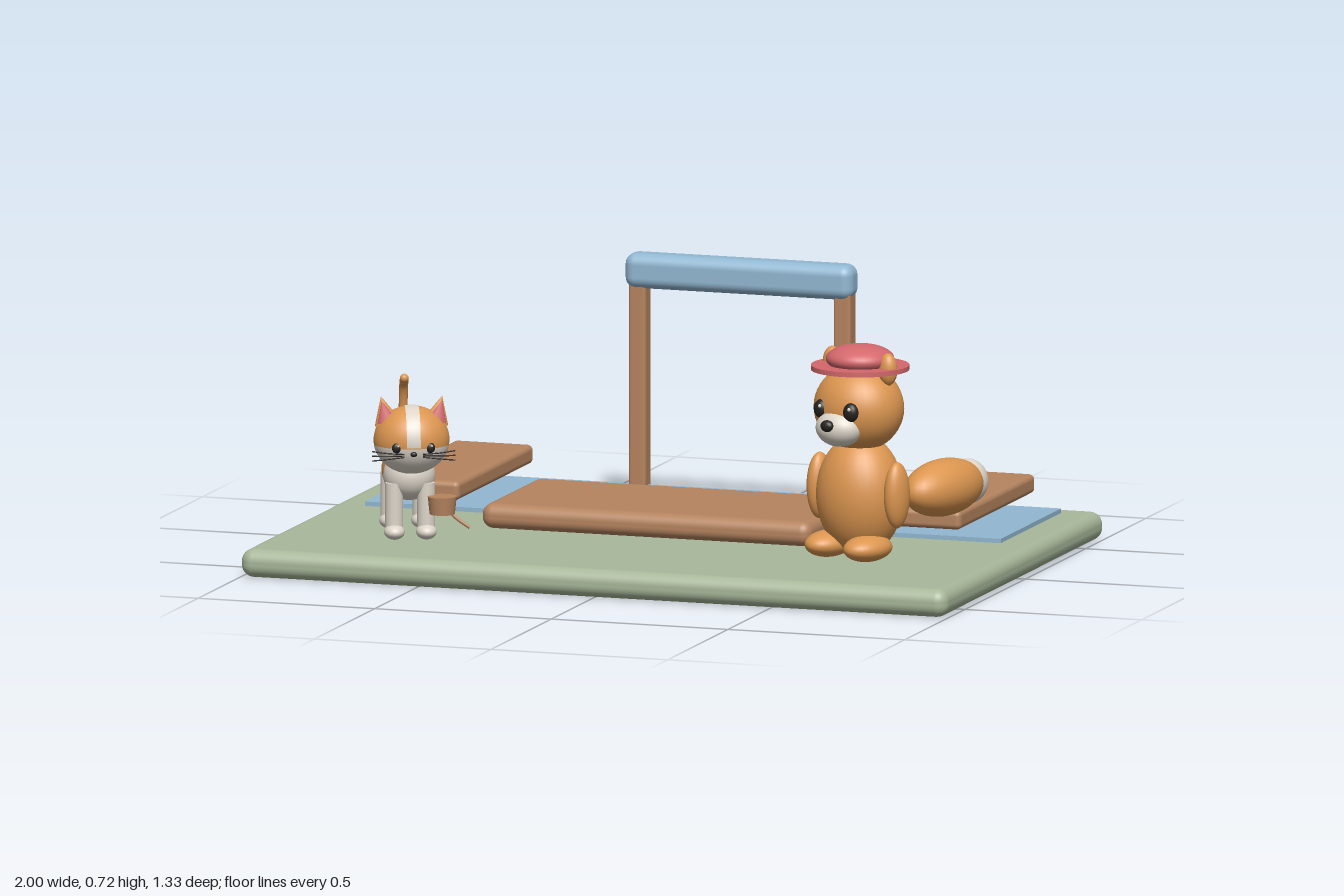
import * as THREE from 'three';
import { RoundedBoxGeometry } from 'three/addons/geometries/RoundedBoxGeometry.js';

const V = (x, y, z) => new THREE.Vector3(x, y, z);

export function createModel() {
  const mat = (name, color, side = THREE.FrontSide) => {
    const m = new THREE.MeshStandardMaterial({ color, side });
    m.name = name;
    return m;
  };
  const grass = mat('grass green', 0xa8b89a);
  const blue = mat('water blue', 0x92b8d2);
  const wood = mat('wood brown', 0xb5845f);
  const orange = mat('fur orange', 0xdc9650);
  const cream = mat('fur cream', 0xddd5c9);
  const rose = mat('rose', 0xd4686c);
  const black = mat('black', 0x25221f);

  const model = new THREE.Group();
  model.name = 'waterside';

  const add = (parent, name, geometry, material, p = [0, 0, 0]) => {
    const mesh = new THREE.Mesh(geometry, material);
    mesh.name = name;
    mesh.position.set(...p);
    parent.add(mesh);
    return mesh;
  };
  const ball = (parent, name, material, p, r) => {
    const mesh = add(parent, name, new THREE.SphereGeometry(1, 32, 24), material, p);
    mesh.scale.set(...r);
    return mesh;
  };
  // Rounded box given by its lower and upper corners
  const block = (name, material, a, b, radius) => {
    const s = a.map((v, i) => b[i] - v);
    return add(model, name, new RoundedBoxGeometry(...s, 4, radius), material, a.map((v, i) => (v + b[i]) / 2));
  };
  const tube = (parent, name, material, points, r) =>
    add(parent, name, new THREE.TubeGeometry(new THREE.CatmullRomCurve3(points), 24, r, 8), material);

  // Ground, pool and decks
  block('ground', grass, [-1, 0, -0.665], [1, 0.077, 0.665], 0.034);
  add(model, 'pool', new THREE.BoxGeometry(1.8, 0.018, 0.5), blue, [0, 0.08, -0.34]);
  block('centreDeck', wood, [-0.468, 0.09, -0.23], [0.465, 0.158, 0.222], 0.03);
  for (const s of [-1, 1]) {
    block('sideDeck', wood, [s * 0.71 - 0.113, 0.125, -0.605], [s * 0.71 + 0.113, 0.177, 0.03 - 0.01], 0.015)
      .position.z = -0.292;
    block('archPost', wood, [s * 0.29 - 0.024, 0.077, -0.608], [s * 0.29 + 0.024, 0.65, -0.556], 0.008);
  }
  block('archBeam', blue, [-0.325, 0.625, -0.625], [0.32, 0.72, -0.542], 0.03);

  // Upright animal with a hat
  const bear = new THREE.Group();
  bear.name = 'hattedAnimal';
  bear.position.set(0.64, 0, 0.315);
  bear.rotation.y = -0.34;
  model.add(bear);
  ball(bear, 'body', orange, [0, 0.262, 0], [0.122, 0.165, 0.112]);
  ball(bear, 'head', orange, [0, 0.5, 0.005], [0.126, 0.118, 0.114]);
  ball(bear, 'muzzle', cream, [0, 0.455, 0.09], [0.068, 0.05, 0.055]);
  ball(bear, 'nose', black, [0, 0.467, 0.142], [0.02, 0.016, 0.014]);
  for (const s of [-1, 1]) {
    ball(bear, 'eye', black, [s * 0.05, 0.504, 0.103], [0.023, 0.026, 0.018]);
    ball(bear, 'eyeGlint', cream, [s * 0.05 + 0.006, 0.514, 0.119], [0.005, 0.005, 0.004]);
    ball(bear, 'ear', orange, [s * 0.095, 0.612, 0], [0.027, 0.044, 0.024]);
    ball(bear, 'arm', orange, [s * 0.132, 0.275, 0.008], [0.03, 0.09, 0.042]);
    ball(bear, 'foot', orange, [s * 0.066, 0.13, 0.05], [0.056, 0.036, 0.08]);
  }
  add(bear, 'hatBrim', new THREE.CylinderGeometry(0.132, 0.132, 0.013, 48), rose, [0, 0.609, 0]);
  ball(bear, 'hatCrown', rose, [0, 0.632, 0], [0.092, 0.039, 0.092]);

  // Bushy tail with a pale tip
  const tail = ball(model, 'bushyTail', orange, [0.826, 0.268, 0.168], [0.078, 0.077, 0.155]);
  tail.rotation.y = -0.27;
  ball(model, 'bushyTailTip', cream, [0.856, 0.268, 0.057], [0.056, 0.061, 0.057]);

  // Small cat
  const cat = new THREE.Group();
  cat.name = 'cat';
  cat.position.set(-0.637, 0, 0.325);
  cat.rotation.y = 0.4;
  model.add(cat);
  ball(cat, 'body', orange, [0, 0.255, -0.03], [0.068, 0.066, 0.118]);
  ball(cat, 'chest', cream, [0, 0.255, 0.055], [0.07, 0.068, 0.07]);
  for (const x of [-0.043, 0.043]) for (const z of [-0.09, 0.09]) {
    add(cat, 'leg', new THREE.CylinderGeometry(0.024, 0.024, 0.13, 20), cream, [x, 0.175, z]);
    ball(cat, 'paw', cream, [x, 0.108, z + 0.01], [0.028, 0.021, 0.036]);
  }
  tube(cat, 'tail', orange, [V(0, 0.27, -0.13), V(0, 0.31, -0.16), V(0, 0.4, -0.172), V(0, 0.46, -0.155), V(0, 0.485, -0.13)], 0.012);
  ball(cat, 'tailEnd', orange, [0, 0.485, -0.13], [0.012, 0.012, 0.012]);

  // Two-tone head with a pale blaze over the crown
  const head = new THREE.Group();
  head.name = 'head';
  head.position.set(0, 0.366, 0.143);
  cat.add(head);
  const skull = new THREE.Group();
  skull.name = 'skull';
  skull.scale.set(0.102, 0.092, 0.09);
  head.add(skull);
  const split = 1.7;
  add(skull, 'headTop', new THREE.SphereGeometry(1, 32, 16, 0, Math.PI * 2, 0, split), orange);
  add(skull, 'headBottom', new THREE.SphereGeometry(1, 32, 16, 0, Math.PI * 2, split, Math.PI - split), cream);
  const blaze = new THREE.SphereGeometry(1.015, 28, 8, Math.PI / 2 - 0.1, 2.1, Math.PI / 2 - 0.18, 0.36);
  blaze.rotateZ(Math.PI / 2);
  add(skull, 'blaze', blaze, cream);
  ball(head, 'nose', black, [0, -0.026, 0.088], [0.009, 0.007, 0.006]);
  for (const s of [-1, 1]) {
    ball(head, 'eye', black, [s * 0.045, -0.01, 0.078], [0.013, 0.014, 0.008]);
    ball(head, 'eyeGlint', cream, [s * 0.045 + 0.004, -0.004, 0.085], [0.003, 0.003, 0.003]);
    const ear = add(head, 'ear', new THREE.ConeGeometry(0.036, 0.075, 24), orange, [s * 0.073, 0.082, 0]);
    ear.rotation.z = -s * 0.25;
    ear.scale.z = 0.6;
    const inner = add(head, 'innerEar', new THREE.ConeGeometry(0.026, 0.058, 24), rose, [s * 0.074, 0.08, 0.014]);
    inner.rotation.z = -s * 0.25;
    inner.scale.z = 0.5;
    for (const k of [-1, 0, 1])
      tube(head, 'whisker', black, [V(s * 0.025, -0.03 + k * 0.004, 0.085), V(s * 0.07, -0.03 + k * 0.008, 0.09), V(s * 0.112, -0.03 + k * 0.013, 0.084)], 0.0018);
  }

  // Little pail with a trailing cord
  add(model, 'pail', new THREE.CylinderGeometry(0.039, 0.034, 0.048, 24), wood, [-0.512, 0.183, 0.405]);
  tube(model, 'pailCord', wood, [V(-0.49, 0.165, 0.405), V(-0.465, 0.145, 0.405), V(-0.435, 0.125, 0.4)], 0.005);

  return model;
}
